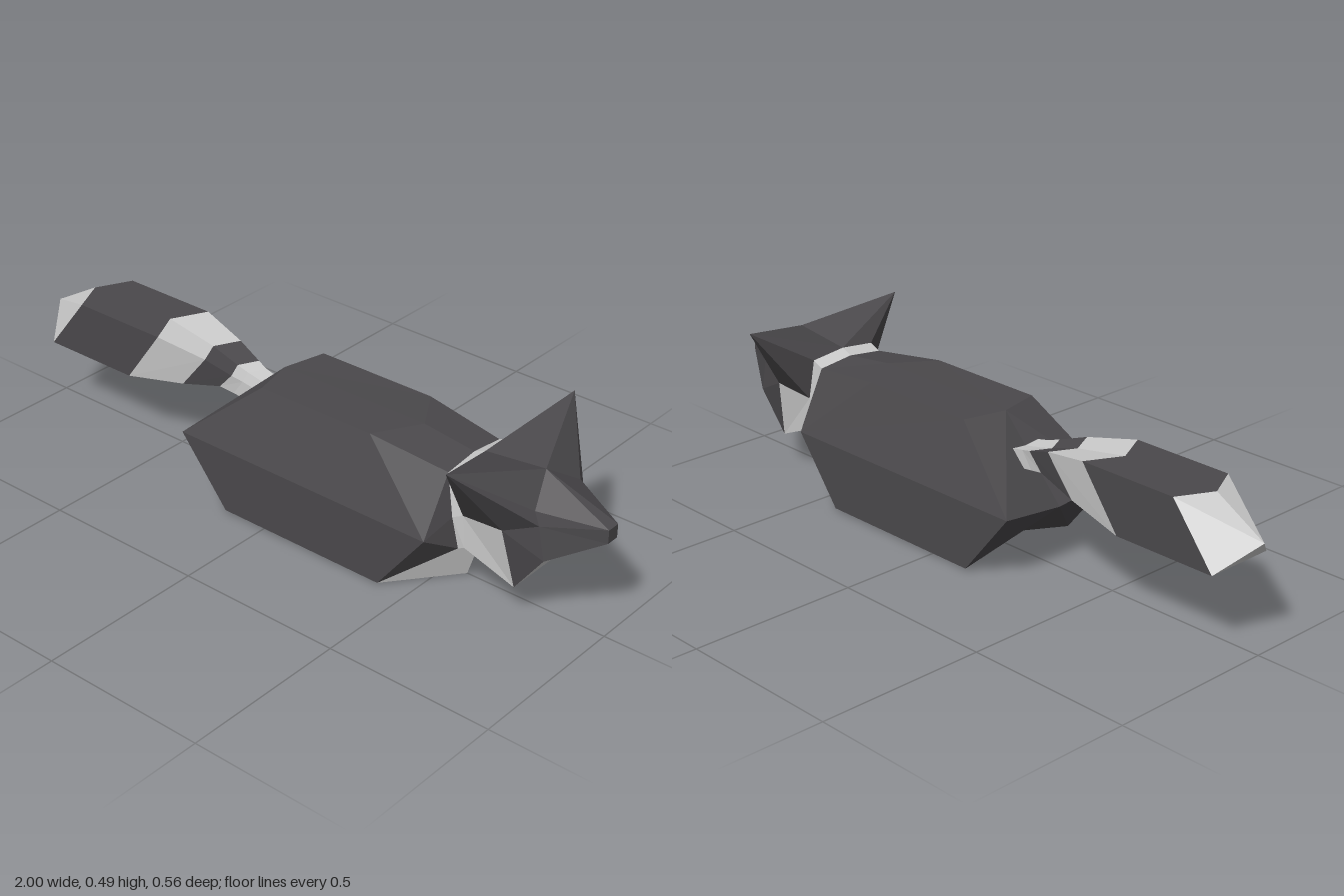
import * as THREE from 'three';

const dark = new THREE.MeshStandardMaterial({ color: 0x4a484b, flatShading: true });
const light = new THREE.MeshStandardMaterial({ color: 0xcccccc, flatShading: true });

// Corner points of the +z half; every face is mirrored to the -z half.
const P = {
  // body: back (U), widest line (S), belly (L), c = on the centre line
  U1: [-0.06, 0.4, 0.13], U1c: [-0.09, 0.4, 0], U2: [0.32, 0.402, 0.13], U2c: [0.4, 0.405, 0],
  S1: [-0.3, 0.2, 0.2], S1c: [-0.3, 0.18, 0], S2: [0.56, 0.2, 0.2],
  L1: [-0.14, 0.005, 0.2], L2: [0.41, 0.005, 0.2], L1c: [-0.01, 0, 0], L2c: [0.56, 0, 0],
  // neck ring on the body
  n0: [0.565, 0.372, 0.11], n0c: [0.565, 0.385, 0], n1: [0.59, 0.25, 0.12],
  n2: [0.605, 0.155, 0.11], n2c: [0.61, 0.155, 0],
  // back ring of the head
  K: [0.6, 0.4, 0], G: [0.6, 0.388, 0.11], I: [0.62, 0.265, 0.115], H: [0.625, 0.165, 0.11], Hc: [0.625, 0.165, 0],
  // ear tip, forehead, brow, cheek, muzzle, jaw, chin
  T: [0.68, 0.49, 0.278], F: [0.79, 0.422, 0], E: [0.83, 0.36, 0.1], D: [0.845, 0.32, 0.1], J: [0.75, 0.28, 0.125],
  C: [0.775, 0.1, 0.093], Cc: [0.775, 0.1, 0], B: [0.865, 0.223, 0.1], Bc: [0.865, 0.223, 0],
  // nose
  N1: [1, 0.335, 0.02], N1c: [1, 0.335, 0], N2: [1, 0.295, 0.02], N2c: [1, 0.295, 0],
};

// Builds mirrored flat faces, each turned away from the given centre.
function shell(name, material, centre, faces) {
  const pos = [];
  const mid = new THREE.Vector3(...centre);
  for (const side of [1, -1]) {
    for (const face of faces) {
      const v = face.map(([x, y, z]) => new THREE.Vector3(x, y, z * side));
      for (let i = 1; i < v.length - 1; i++) {
        const tri = new THREE.Triangle(v[0], v[i], v[i + 1]);
        const out = tri.getMidpoint(new THREE.Vector3()).sub(mid);
        const flip = tri.getNormal(new THREE.Vector3()).dot(out) < 0;
        for (const p of flip ? [tri.a, tri.c, tri.b] : [tri.a, tri.b, tri.c]) pos.push(p.x, p.y, p.z);
      }
    }
  }
  const geometry = new THREE.BufferGeometry();
  geometry.setAttribute('position', new THREE.Float32BufferAttribute(pos, 3));
  geometry.computeVertexNormals();
  const mesh = new THREE.Mesh(geometry, material);
  mesh.name = name;
  return mesh;
}

const named = (text) => text.split(', ').map((face) => face.split(' ').map((k) => P[k]));

// Tail rings: top x, top y, bottom x, bottom y, half width
const tailRings = [
  [-0.12, 0.315, -0.16, 0.27, 0.045],
  [-0.205, 0.332, -0.24, 0.283, 0.05],
  [-0.24, 0.342, -0.285, 0.292, 0.058],
  [-0.325, 0.37, -0.415, 0.26, 0.075],
  [-0.48, 0.4, -0.605, 0.23, 0.105],
  [-0.79, 0.4, -0.925, 0.23, 0.105],
];

function createTail() {
  const tail = new THREE.Group();
  tail.name = 'tail';
  // each ring: top centre (swept back), top edge, bottom edge, bottom centre
  const rings = tailRings.map(([tx, ty, bx, by, w]) => [
    [tx - w * 0.5, ty, 0], [tx, ty, w], [bx, by, w], [bx, by, 0],
  ]);
  for (let i = 0; i < rings.length - 1; i++) {
    const a = rings[i], b = rings[i + 1];
    const centre = [(a[1][0] + a[2][0] + b[1][0] + b[2][0]) / 4, (a[1][1] + a[2][1] + b[1][1] + b[2][1]) / 4, 0];
    const faces = [0, 1, 2].map((k) => [a[k], a[k + 1], b[k + 1], b[k]]);
    tail.add(shell(i % 2 ? 'tailDarkBand' : 'tailLightBand', i % 2 ? dark : light, centre, faces));
    tail.children[i].material = [light, light, dark, light, dark][i];
    tail.children[i].name = tail.children[i].material === dark ? 'tailDarkBand' : 'tailLightBand';
  }
  // pointed light tip
  const last = rings.at(-1), apex = [-1, 0.31, 0];
  tail.add(shell('tailTip', light, [-0.85, 0.31, 0], [0, 1, 2].map((k) => [last[k], last[k + 1], apex])));
  return tail;
}

export function createModel() {
  const model = new THREE.Group();
  model.name = 'animal';

  const bodyMid = [0.15, 0.2, 0];
  model.add(shell('body', dark, bodyMid, named(
    'U1c U1 U2 U2c, U2c U2 n0 n0c, U1 S1 S2 U2, U2 S2 n0, S1 L1 L2 S2, L1c L2c L2 L1, ' +
    'S1c S1 L1 L1c, U1c U1 S1 S1c, S2 n0 n1, S2 n1 n2, S2 L2 n2')));
  model.add(shell('chest', light, bodyMid, named('L2 L2c n2c n2')));
  model.add(shell('neck', light, [0.59, 0.27, 0], named('n0c K G n0, n0 G I n1, n1 I H n2, n2 H Hc n2c')));

  const head = new THREE.Group();
  head.name = 'head';
  const headMid = [0.75, 0.28, 0];
  head.add(shell('ears', dark, headMid, named('K G T, K T F, F T E, E T D, T J D, T I J, G I T')));
  head.add(shell('muzzle', dark, headMid, named('F E N1 N1c, E D N1, D B N2 N1, N2 B Bc N2c, J C B D')));
  head.add(shell('nose', dark, headMid, named('N1 N2 N2c N1c')));
  head.add(shell('cheeksAndChin', light, headMid, named('I J C H, C B Bc Cc, H C Cc Hc')));
  model.add(head);

  model.add(createTail());
  return model;
}
